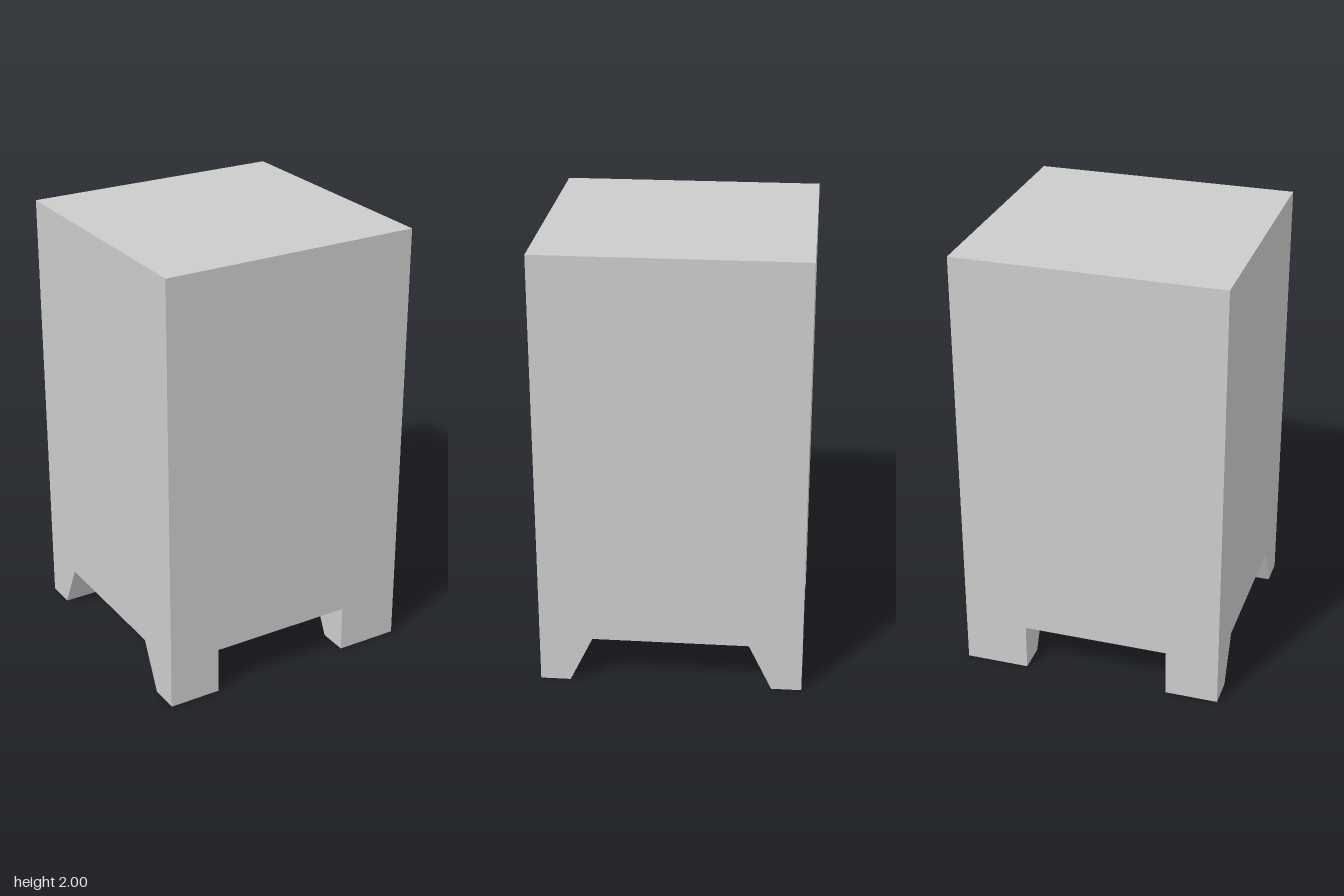
import * as THREE from 'three';

const HALF_X = 0.597, HALF_Z = 0.588, HEIGHT = 2, LEG_H = 0.215;

export function createModel() {
  const model = new THREE.Group();
  model.name = 'cabinet';
  const material = new THREE.MeshStandardMaterial({ color: 0xcccccc, flatShading: true });

  // Plain block body, raised on the legs
  const bodyH = HEIGHT - LEG_H;
  const body = new THREE.Mesh(new THREE.BoxGeometry(HALF_X * 2, bodyH, HALF_Z * 2), material);
  body.name = 'body';
  body.position.y = LEG_H + bodyH / 2;
  model.add(body);

  // Leg profile in (z, y): upright outer face, sloping inner face
  const addLeg = (name, x0, x1, side) => {
    const profile = new THREE.Shape([
      [HALF_Z, 0], [HALF_Z, LEG_H], [0.35, LEG_H], [0.453, 0],
    ].map(([z, y]) => new THREE.Vector2(-z * side, y)));
    const geometry = new THREE.ExtrudeGeometry(profile, { depth: x1 - x0, bevelEnabled: false });
    geometry.rotateY(Math.PI / 2); // extrusion runs along x, profile x becomes -z
    geometry.translate(x0, 0, 0);
    const leg = new THREE.Mesh(geometry, material);
    leg.name = name;
    model.add(leg);
  };

  // The legs on the +x side are a little wider
  for (const [end, side] of [['front', 1], ['back', -1]]) {
    addLeg(end + 'LeftLeg', 0.308, HALF_X, side);
    addLeg(end + 'RightLeg', -HALF_X, -0.356, side);
  }
  return model;
}
